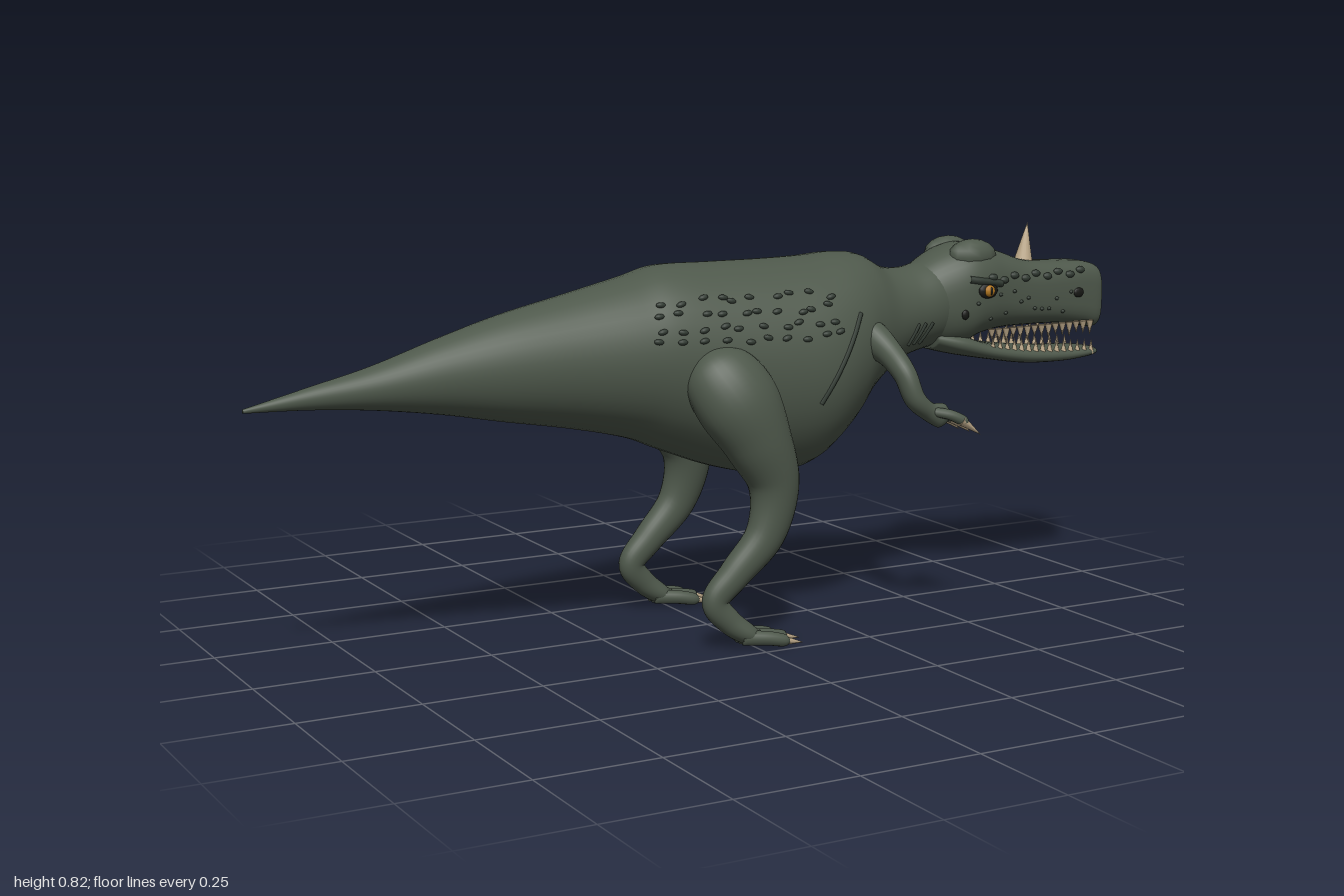
import * as THREE from 'three';

const mat = (name, color, side = THREE.FrontSide) => new THREE.MeshStandardMaterial({ name, color, side });
const skin = mat('skin', 0x4e584b);
const scale = mat('darkScale', 0x333c34);
const ivory = mat('ivory', 0xbda98a);
const amber = mat('amber', 0xb5791f);
const black = mat('black', 0x171815);

// Smooth interpolation of section rows
function dense(rows, steps = 8) {
  const out = [], n = rows.length, at = i => rows[Math.max(0, Math.min(n - 1, i))];
  for (let i = 0; i < n - 1; i++) {
    for (let k = 0; k < steps + (i === n - 2 ? 1 : 0); k++) {
      const t = k / steps, [a, b, c, d] = [at(i - 1), at(i), at(i + 1), at(i + 2)];
      out.push(b.map((_, j) => 0.5 * (2 * b[j] + (c[j] - a[j]) * t
        + (2 * a[j] - 5 * b[j] + 4 * c[j] - d[j]) * t * t
        + (3 * b[j] - a[j] - 3 * c[j] + d[j]) * t * t * t)));
    }
  }
  return out;
}

// Closed skin over rows of [x, y, z, radius along ref, radius across, squareness]
function sweep(rows, ref, fixed, sides = 28) {
  const pos = [], idx = [], n = rows.length;
  const P = rows.map(r => new THREE.Vector3(r[0], r[1], r[2]));
  rows.forEach((r, i) => {
    const T = fixed ? fixed.clone() : P[Math.min(n - 1, i + 1)].clone().sub(P[Math.max(0, i - 1)]).normalize();
    const u = ref.clone().addScaledVector(T, -ref.dot(T)).normalize();
    const v = T.clone().cross(u), e = 2 / (r[5] || 2);
    for (let k = 0; k < sides; k++) {
      const a = k / sides * Math.PI * 2, c = Math.cos(a), s = Math.sin(a);
      const p = P[i].clone()
        .addScaledVector(u, Math.sign(c) * Math.abs(c) ** e * r[3])
        .addScaledVector(v, Math.sign(s) * Math.abs(s) ** e * r[4]);
      pos.push(p.x, p.y, p.z);
      if (i < n - 1) {
        const k2 = (k + 1) % sides, A = i * sides + k, B = i * sides + k2;
        idx.push(A, B, A + sides, B, B + sides, A + sides);
      }
    }
  });
  pos.push(...P[0].toArray(), ...P[n - 1].toArray());
  for (let k = 0; k < sides; k++) {
    const k2 = (k + 1) % sides, o = (n - 1) * sides;
    idx.push(n * sides, k2, k, n * sides + 1, o + k, o + k2);
  }
  const g = new THREE.BufferGeometry();
  g.setAttribute('position', new THREE.Float32BufferAttribute(pos, 3));
  g.setIndex(idx);
  g.computeVertexNormals();
  return g;
}

const X = new THREE.Vector3(1, 0, 0), Y = new THREE.Vector3(0, 1, 0), Z = new THREE.Vector3(0, 0, 1);
// Rows of [x, bottom, top, half width, squareness] to sweep rows
const profile = rows => dense(rows.map(([x, b, t, w, e = 2]) => [x, (b + t) / 2, 0, w, (t - b) / 2, e]));

const bodyRows = profile([
  [-1, 0.54, 0.548, 0.004], [-0.87, 0.536, 0.58, 0.021], [-0.74, 0.525, 0.612, 0.042], [-0.6, 0.505, 0.657, 0.066],
  [-0.47, 0.48, 0.695, 0.09], [-0.33, 0.455, 0.727, 0.115], [-0.2, 0.425, 0.757, 0.14], [-0.12, 0.393, 0.777, 0.154],
  [0, 0.348, 0.778, 0.171], [0.12, 0.322, 0.778, 0.183], [0.22, 0.335, 0.78, 0.185], [0.3, 0.395, 0.785, 0.165],
  [0.36, 0.465, 0.778, 0.135], [0.42, 0.515, 0.748, 0.107], [0.48, 0.548, 0.742, 0.09], [0.55, 0.565, 0.755, 0.083],
  [0.62, 0.58, 0.75, 0.07]]);
const headRows = profile([
  [0.49, 0.59, 0.73, 0.06, 2], [0.55, 0.565, 0.767, 0.082, 2.2], [0.61, 0.565, 0.788, 0.096, 2.4],
  [0.66, 0.585, 0.787, 0.094, 2.6], [0.72, 0.596, 0.768, 0.084, 2.8], [0.79, 0.598, 0.745, 0.076, 3],
  [0.87, 0.597, 0.738, 0.069, 3.3], [0.94, 0.59, 0.736, 0.063, 3.6], [0.98, 0.582, 0.728, 0.058, 3.6],
  [0.995, 0.592, 0.715, 0.048, 3.4], [1, 0.62, 0.69, 0.028, 3]]);
const jawRows = profile([
  [0.54, 0.56, 0.61, 0.06, 2], [0.6, 0.545, 0.595, 0.082, 2.4], [0.68, 0.53, 0.568, 0.083, 2.6],
  [0.78, 0.514, 0.552, 0.077, 2.6], [0.88, 0.51, 0.543, 0.068, 2.6], [0.95, 0.514, 0.54, 0.06, 2.5],
  [0.985, 0.519, 0.537, 0.047, 2.4], [1, 0.525, 0.533, 0.025, 2]]);

// Point on the flank of a swept shape
function flank(rows, x, y, s) {
  let i = rows.findIndex(r => r[0] >= x);
  i = Math.max(1, i);
  const t = (x - rows[i - 1][0]) / (rows[i][0] - rows[i - 1][0]);
  const r = rows[i].map((v, j) => rows[i - 1][j] + (v - rows[i - 1][j]) * t);
  const q = Math.min(1, Math.abs(y - r[1]) / r[4]);
  return new THREE.Vector3(x, y, s * r[3] * (1 - q ** r[5]) ** (1 / r[5]));
}

export function createModel() {
  const root = new THREE.Group();
  const add = (name, geo, material, parent = root) => {
    const m = new THREE.Mesh(geo, material);
    m.name = name;
    parent.add(m);
    return m;
  };
  const ball = new THREE.SphereGeometry(1, 12, 8);
  const blob = (name, p, size, material, parent) => {
    const m = add(name, ball, material, parent);
    m.position.copy(p);
    m.scale.set(...size);
    return m;
  };
  // Pointed cone from a base to a tip
  const spike = (name, a, b, r, parent, sides = 10) => {
    const A = new THREE.Vector3(...a), d = new THREE.Vector3(...b).sub(A);
    const m = add(name, new THREE.ConeGeometry(r, d.length(), sides), ivory, parent);
    m.position.copy(A).addScaledVector(d, 0.5);
    m.quaternion.setFromUnitVectors(Y, d.normalize());
  };
  const line = (name, rows, from, to, s, r, parent) => {
    const pts = [0, 0.25, 0.5, 0.75, 1].map(t =>
      flank(rows, from[0] + (to[0] - from[0]) * t, from[1] + (to[1] - from[1]) * t, s));
    add(name, new THREE.TubeGeometry(new THREE.CatmullRomCurve3(pts), 14, r, 6), scale, parent);
  };
  let seed = 7;
  const rnd = () => (seed = (seed * 16807) % 2147483647) / 2147483647 - 0.5;

  add('body', sweep(bodyRows, Z, X, 40), skin);
  add('head', sweep(headRows, Z, X, 40), skin);
  add('lowerJaw', sweep(jawRows, Z, X, 32), skin);
  spike('horn', [0.807, 0.735, 0], [0.817, 0.826, 0], 0.022, root, 16);

  for (const s of [1, -1]) {
    const side = new THREE.Group();
    side.name = s > 0 ? 'nearSide' : 'farSide';
    root.add(side);

    // Leg and foot
    add('leg', sweep(dense([
      [-0.075, 0.6, 0.125 * s, 0.03, 0.035], [-0.06, 0.57, 0.145 * s, 0.06, 0.075], [-0.025, 0.51, 0.172 * s, 0.071, 0.088],
      [0.015, 0.43, 0.185 * s, 0.063, 0.073], [0.052, 0.335, 0.188 * s, 0.05, 0.054], [0.03, 0.235, 0.193 * s, 0.036, 0.043],
      [-0.04, 0.158, 0.191 * s, 0.03, 0.034], [-0.085, 0.105, 0.189 * s, 0.024, 0.029],
      [-0.055, 0.06, 0.192 * s, 0.024, 0.026], [-0.015, 0.03, 0.195 * s, 0.029, 0.022], [0.01, 0.022, 0.195 * s, 0.022, 0.014]]), Z), skin, side);
    for (const k of [-1, 0, 1]) {
      const z = s * 0.195 + k * 0.033, tip = k ? 0.065 : 0.078;
      add('toe', sweep(dense([
        [-0.03, 0.025, s * 0.195 + k * 0.012, 0.012, 0.016], [0.02, 0.021, s * 0.195 + k * 0.026, 0.014, 0.015],
        [tip - 0.01, 0.014, z, 0.013, 0.013], [tip, 0.013, z, 0.006, 0.007]], 5), Z, null, 12), skin, side);
      spike('toeClaw', [tip - 0.012, 0.014, z], [tip + 0.035, 0.005, z + k * 0.004], 0.01, side);
    }

    // Arm, fingers and claws
    add('arm', sweep(dense([
      [0.31, 0.63, 0.09 * s, 0.03, 0.035], [0.325, 0.61, 0.13 * s, 0.036, 0.042], [0.338, 0.583, 0.178 * s, 0.028, 0.03],
      [0.347, 0.545, 0.222 * s, 0.024, 0.026], [0.362, 0.495, 0.238 * s, 0.022, 0.024], [0.395, 0.466, 0.24 * s, 0.02, 0.02],
      [0.425, 0.455, 0.242 * s, 0.026, 0.017], [0.44, 0.45, 0.242 * s, 0.014, 0.01]]), new THREE.Vector3(1, 0.4, 0).normalize()), skin, side);
    for (const k of [-1, 0, 1]) {
      const z = s * 0.241 + k * 0.037;
      add('finger', sweep(dense([
        [0.4, 0.466, s * 0.241 + k * 0.008, 0.01, 0.01], [0.43, 0.46, s * 0.241 + k * 0.028, 0.011, 0.011],
        [0.458, 0.446, z, 0.011, 0.011], [0.465, 0.441, z, 0.005, 0.005]], 5), Y, null, 10), skin, side);
      spike('fingerClaw', [0.452, 0.448, z], [0.502, 0.413, z + k * 0.002], 0.0115, side);
    }

    // Brow, eye and nostril
    blob('brow', new THREE.Vector3(0.635, 0.762, 0.046 * s), [0.06, 0.038, 0.036], skin, side);
    const eye = flank(headRows, 0.645, 0.69, s);
    blob('eyeSocket', eye, [0.026, 0.017, 0.008], black, side);
    blob('eye', eye.clone().add(new THREE.Vector3(0, 0, 0.004 * s)), [0.014, 0.013, 0.009], amber, side);
    blob('pupil', eye.clone().add(new THREE.Vector3(0.001, 0, 0.0115 * s)), [0.003, 0.009, 0.003], black, side);
    line('eyeRidge', headRows, [0.6, 0.716], [0.685, 0.703], s, 0.008, side);
    blob('nostril', flank(headRows, 0.915, 0.668, s), [0.015, 0.011, 0.005], black, side);
    blob('ear', flank(headRows, 0.59, 0.64, s), [0.009, 0.011, 0.005], black, side);

    // Teeth
    for (let i = 0; i < 15; i++) {
      const x = 0.67 + i * 0.0205, z = s * (0.077 - i * 0.0016), h = 0.026 + (i % 3) * 0.004;
      spike('upperTooth', [x, 0.602, z], [x + 0.001, 0.602 - h, z], 0.0085, side, 7);
      const x2 = x + 0.01, y2 = 0.562 - 0.026 * i / 14;
      spike('lowerTooth', [x2, y2 - 0.012, z * 0.9], [x2, y2 + 0.022, z * 0.9], 0.0075, side, 7);
    }

    // Dark scales on the flank and along the head
    for (let row = 0; row < 4; row++) for (let i = 0; i < 10; i++) {
      const p = flank(bodyRows, -0.17 + i * 0.043 + rnd() * 0.03, 0.632 + row * 0.027 + rnd() * 0.014, s);
      blob('flankScale', p, [0.011, 0.006, 0.006], scale, side).rotation.z = rnd() * 0.6;
    }
    for (let i = 0; i < 9; i++) {
      const p = flank(headRows, 0.66 + i * 0.033, 0.718 - (i % 2) * 0.008, s);
      blob('snoutScale', p, [0.012, 0.008, 0.007], scale, side);
    }
    for (let i = 0; i < 14; i++) {
      const p = flank(headRows, 0.62 + i * 0.021, 0.655 + rnd() * 0.06, s);
      blob('cheekScale', p, [0.005, 0.004, 0.004], scale, side);
    }

    // Scar and neck creases
    line('flankScar', bodyRows, [0.28, 0.67], [0.17, 0.49], s, 0.005, side);
    for (let i = 0; i < 3; i++) line('neckCrease', bodyRows, [0.47 + i * 0.02, 0.628], [0.445 + i * 0.02, 0.582], s, 0.004, side);
  }
  return root;
}
